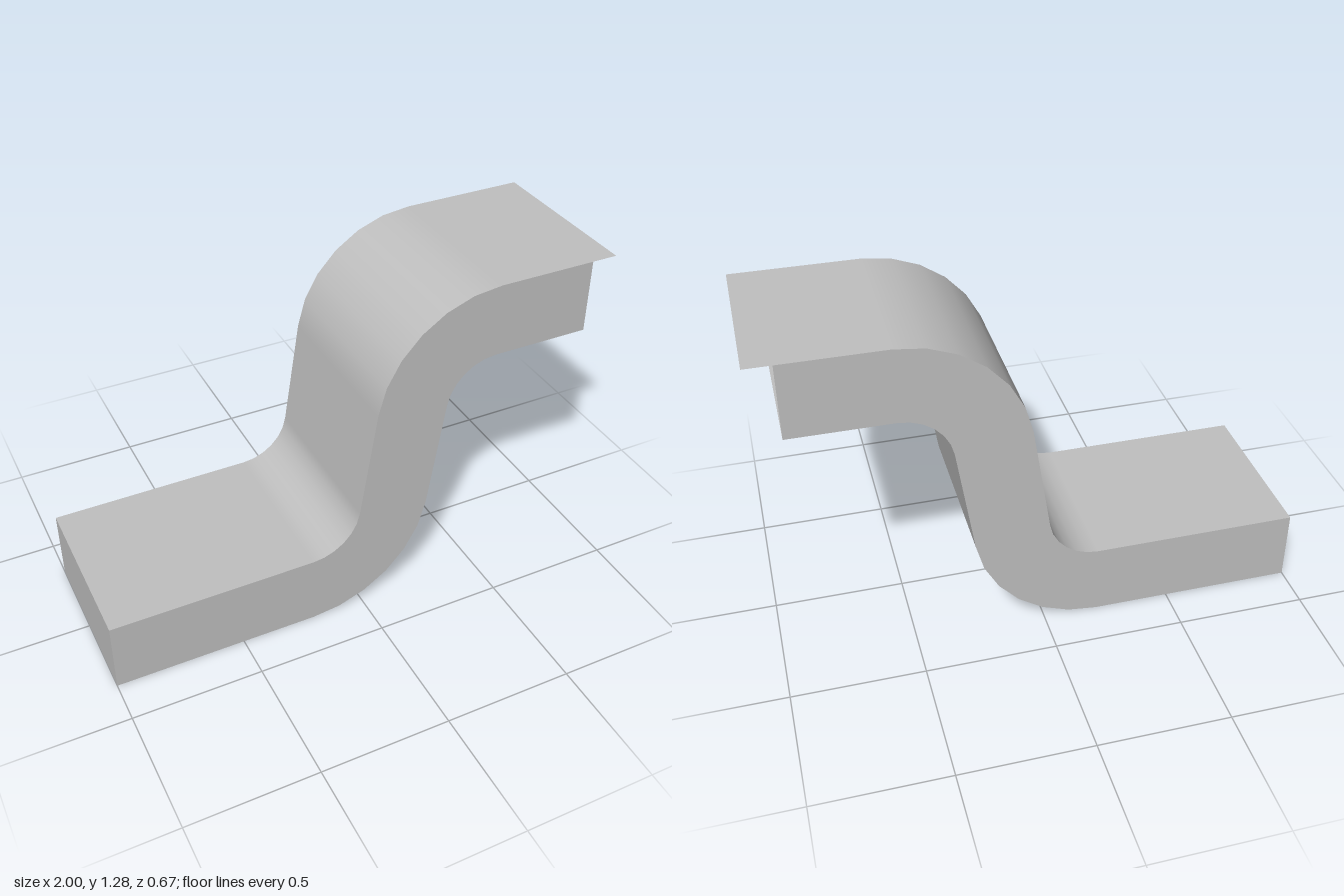
import * as THREE from 'three';

const HALF = 0.333;              // half width in z
const HEIGHT = 0.285;            // duct height
const TOP = 1.285;               // overall height
const OUTER = 0.48, INNER = OUTER - HEIGHT;
const TURN = THREE.MathUtils.degToRad(81.3);
const STEPS = 6;
const LOW = { x: -0.21, y: OUTER };          // centre of the lower bend
const HIGH = { x: 0.522, y: TOP - OUTER };   // centre of the upper bend

// S-shaped profile from the low end to the high end; each point is [x, y, normalX, normalY]
function profile(lowRadius, highRadius, endX, side) {
  const pts = [];
  const add = (x, y, a) => pts.push([x, y, -Math.sin(a) * side, Math.cos(a) * side]);
  add(-1, LOW.y - lowRadius, 0);
  for (let i = 0; i <= STEPS; i++) {
    const a = TURN * i / STEPS;
    add(LOW.x + lowRadius * Math.sin(a), LOW.y - lowRadius * Math.cos(a), a);
  }
  for (let i = STEPS; i >= 0; i--) {
    const a = TURN * i / STEPS;
    add(HIGH.x - highRadius * Math.sin(a), HIGH.y + highRadius * Math.cos(a), a);
  }
  add(endX, HIGH.y + highRadius, 0);
  return pts;
}

// Smooth sheet swept across z along a profile
function sheet(pts, side) {
  const pos = [], nor = [], idx = [];
  pts.forEach(([x, y, nx, ny], i) => {
    pos.push(x, y, HALF, x, y, -HALF);
    nor.push(nx, ny, 0, nx, ny, 0);
    if (i === 0) return;
    const a = 2 * i - 2, b = a + 1, c = a + 2, d = a + 3;
    if (side > 0) idx.push(a, c, b, b, c, d);
    else idx.push(a, b, c, b, d, c);
  });
  const g = new THREE.BufferGeometry();
  g.setAttribute('position', new THREE.Float32BufferAttribute(pos, 3));
  g.setAttribute('normal', new THREE.Float32BufferAttribute(nor, 3));
  g.setIndex(idx);
  return g;
}

export function createModel() {
  const group = new THREE.Group();
  const grey = new THREE.MeshStandardMaterial({ color: 0xc0c0c0, side: THREE.DoubleSide });
  grey.name = 'plain grey';
  const add = (name, geometry) => {
    const mesh = new THREE.Mesh(geometry, grey);
    mesh.name = name;
    group.add(mesh);
    return mesh;
  };

  // Upper sheet, which overhangs the open end, and lower sheet
  add('topSheet', sheet(profile(INNER, OUTER, 1, 1), 1));
  add('bottomSheet', sheet(profile(OUTER, INNER, 0.9, -1), -1));

  // Flat side walls
  const upper = profile(INNER, OUTER, 0.9, 1);
  const lower = profile(OUTER, INNER, 0.9, -1);
  const outline = [...lower, ...upper.reverse()].map(([x, y]) => new THREE.Vector2(x, y));
  const wall = new THREE.ShapeGeometry(new THREE.Shape(outline));
  add('frontWall', wall).position.z = HALF;
  const back = add('backWall', wall.clone().rotateY(Math.PI).scale(-1, 1, 1));
  // Reverse the corners after mirroring so the wall faces outward
  const index = back.geometry.index.array;
  for (let i = 0; i < index.length; i += 3) [index[i], index[i + 1]] = [index[i + 1], index[i]];
  back.geometry.computeVertexNormals();
  back.position.z = -HALF;

  // Closed low end
  const cap = add('endCap', new THREE.PlaneGeometry(2 * HALF, HEIGHT));
  cap.rotation.y = -Math.PI / 2;
  cap.position.set(-1, HEIGHT / 2, 0);

  return group;
}
